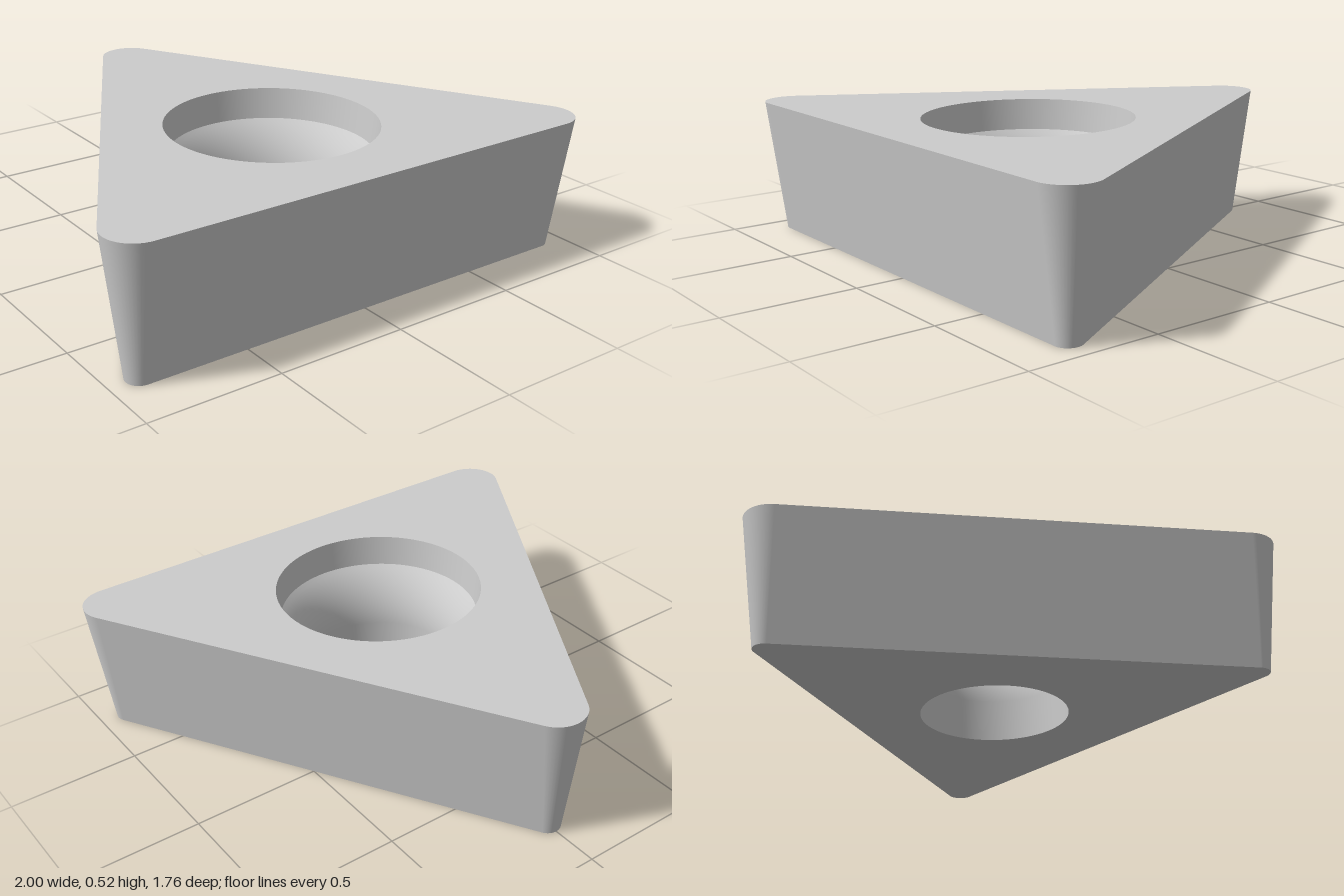
import * as THREE from 'three';

const HEIGHT = 0.52, CENTER_Z = 0.255;
const CORNER_DIST = 1.02;                     // centre to each corner's arc centre
const R_TOP = 0.115, R_BOTTOM = 0.051;        // corner radii, the difference gives the side taper
const HOLE_TOP = 0.4, HOLE_BOTTOM = 0.29;
const ARC_STEPS = 16, HOLE_SEGMENTS = 96;

// Rounded triangle: one arc per corner, each entry holds the arc centre and outward direction
function outline() {
  const pts = [];
  for (let k = 0; k < 3; k++) {
    const a = Math.PI / 2 + (k * 2 * Math.PI) / 3;
    for (let i = 0; i <= ARC_STEPS; i++) {
      const t = a + (i / ARC_STEPS - 0.5) * ((2 * Math.PI) / 3);
      pts.push({ cx: CORNER_DIST * Math.cos(a), cz: -CORNER_DIST * Math.sin(a), nx: Math.cos(t), nz: -Math.sin(t) });
    }
  }
  return pts;
}

// Tapered side walls, smooth around the corners and flat between them
function wallGeometry(ring) {
  const pos = [], nor = [], idx = [], n = ring.length;
  const tilt = Math.atan2(R_TOP - R_BOTTOM, HEIGHT);
  for (const [r, y] of [[R_BOTTOM, 0], [R_TOP, HEIGHT]]) {
    for (const p of ring) {
      pos.push(p.cx + r * p.nx, y, p.cz + r * p.nz);
      nor.push(p.nx * Math.cos(tilt), -Math.sin(tilt), p.nz * Math.cos(tilt));
    }
  }
  for (let i = 0; i < n; i++) {
    const j = (i + 1) % n;
    idx.push(i, j, n + j, i, n + j, n + i);
  }
  const g = new THREE.BufferGeometry();
  g.setAttribute('position', new THREE.Float32BufferAttribute(pos, 3));
  g.setAttribute('normal', new THREE.Float32BufferAttribute(nor, 3));
  g.setIndex(idx);
  return g;
}

// Flat face with the round hole; dir is 1 for the top and -1 for the bottom
function faceGeometry(ring, r, holeR, y, dir) {
  const shape = new THREE.Shape(
    ring.map(p => new THREE.Vector2(p.cx + r * p.nx, -dir * (p.cz + r * p.nz))));
  shape.holes.push(new THREE.Path().absarc(0, 0, holeR, 0, Math.PI * 2, true));
  return new THREE.ShapeGeometry(shape, HOLE_SEGMENTS / 2).rotateX((-dir * Math.PI) / 2).translate(0, y, 0);
}

export function createModel() {
  const group = new THREE.Group();
  group.name = 'triangularInsert';
  const material = new THREE.MeshStandardMaterial({ color: 0xcccccc });
  const add = (name, geometry) => {
    const mesh = new THREE.Mesh(geometry, material);
    mesh.name = name;
    mesh.position.z = CENTER_Z;
    group.add(mesh);
  };

  const ring = outline();
  add('sideWalls', wallGeometry(ring));
  add('topFace', faceGeometry(ring, R_TOP, HOLE_TOP, HEIGHT, 1));
  add('bottomFace', faceGeometry(ring, R_BOTTOM, HOLE_BOTTOM, 0, -1));

  // Hole: steep entry wall, then a rounded screw seat running into a straight bore
  const seat = [], flare = 0.32, boreTop = 0.17, span = 0.8;
  for (let i = 0; i <= 12; i++) {
    const t = span * (1 - i / 12);
    seat.push(new THREE.Vector2(HOLE_BOTTOM + flare * (1 - Math.cos(t)), boreTop + flare * Math.sin(t)));
  }
  seat.push(new THREE.Vector2(HOLE_BOTTOM, 0));
  add('holeEntry', new THREE.LatheGeometry([new THREE.Vector2(HOLE_TOP, HEIGHT), seat[0].clone()], HOLE_SEGMENTS));
  add('screwSeatAndBore', new THREE.LatheGeometry(seat, HOLE_SEGMENTS));
  return group;
}
